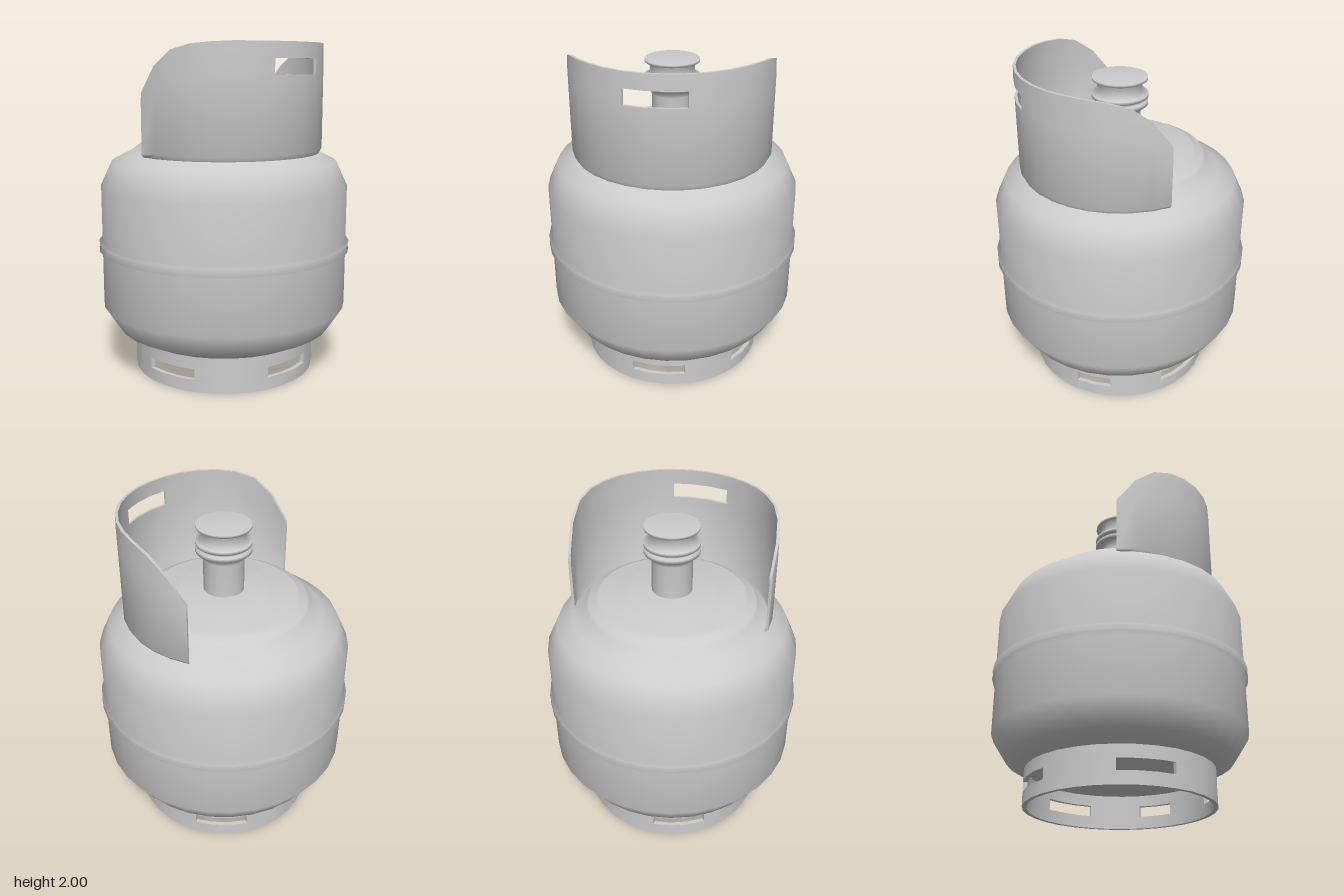
import * as THREE from 'three';
import { toCreasedNormals } from 'three/addons/utils/BufferGeometryUtils.js';

const SEG = 32;
const STEP = (Math.PI * 2) / SEG;
const grey = new THREE.MeshStandardMaterial({ color: 0xcccccc });

function add(group, name, geometry) {
  const mesh = new THREE.Mesh(geometry, grey);
  mesh.name = name;
  group.add(mesh);
}

// Surface of revolution from [radius, height] pairs, bottom to top
function lathe(profile) {
  return new THREE.LatheGeometry(profile.map(([r, y]) => new THREE.Vector2(r, y)), SEG);
}

// Thick curved wall made of angular columns and rows; solid(i, j) says which cells exist
function curvedWall(first, last, rows, thickness, solid, height = (i, y) => y) {
  const positions = [];
  const point = (i, j, inner) => {
    const r = rows[j][0] - (inner ? thickness : 0);
    return [r * Math.sin(i * STEP), height(i, rows[j][1]), r * Math.cos(i * STEP)];
  };
  const quad = (a, b, c, d) => positions.push(...a, ...b, ...c, ...a, ...c, ...d);
  for (let i = first; i < last; i++) {
    for (let j = 0; j < rows.length - 1; j++) {
      if (!solid(i, j)) continue;
      const [a, b, c, d] = [point(i, j), point(i + 1, j), point(i + 1, j + 1), point(i, j + 1)];
      const [e, f, g, h] = [point(i, j, true), point(i + 1, j, true), point(i + 1, j + 1, true), point(i, j + 1, true)];
      quad(a, b, c, d);
      quad(f, e, h, g);
      // Close the wall thickness wherever the neighbouring cell is missing
      if (!solid(i - 1, j)) quad(e, a, d, h);
      if (!solid(i + 1, j)) quad(b, f, g, c);
      if (!solid(i, j + 1)) quad(d, c, g, h);
      if (!solid(i, j - 1)) quad(e, f, b, a);
    }
  }
  const geometry = new THREE.BufferGeometry();
  geometry.setAttribute('position', new THREE.Float32BufferAttribute(positions, 3));
  return toCreasedNormals(geometry, 0.7);
}

export function createModel() {
  const model = new THREE.Group();
  model.name = 'gasCylinder';

  // Tank with a double weld bead and a stepped shoulder
  add(model, 'tank', lathe([
    [0, 0.17], [0.3, 0.18], [0.55, 0.21], [0.67, 0.27], [0.76, 0.41],
    [0.76, 0.745], [0.78, 0.76], [0.765, 0.78], [0.78, 0.805], [0.76, 0.815],
    [0.76, 1.15], [0.69, 1.3], [0.59, 1.35], [0.505, 1.41], [0.5, 1.445],
    [0.445, 1.445], [0.44, 1.475], [0.265, 1.475], [0.262, 1.505], [0, 1.51],
  ]));

  // Foot ring with five slots, given as first and last column
  const slots = [[-1, 2], [6, 9], [12, 14], [17, 20], [24, 27]];
  const inSlot = (i) => slots.some(([s, e]) => (i - s + SEG) % SEG < e - s);
  const footRows = [[0.56, 0], [0.56, 0.075], [0.56, 0.14], [0.56, 0.22]];
  add(model, 'footRing', curvedWall(0, SEG, footRows, 0.025,
    (i, j) => j >= 0 && j < 3 && !(j === 1 && inSlot((i + SEG) % SEG))));

  // Collar open on one side, with swept-down ends and a hand slot
  const tops = [1.72, 1.87, 1.955, 1.985, 1.995];
  const collarRows = [[0.585, 1.35], [0.6, 1.38], [0.6, 1.82], [0.6, 1.91], [0.597, 2]];
  const sweep = (i, y) => {
    const top = tops[Math.min(i + 1, 17 - i)] ?? 2;
    return 1.35 + ((y - 1.35) * (top - 1.35)) / 0.65;
  };
  add(model, 'collar', curvedWall(-1, 17, collarRows, 0.016,
    (i, j) => i >= -1 && i < 17 && j >= 0 && j < 4 && !(j === 2 && i >= 6 && i < 9), sweep));

  // Valve stem, twin flanges and cap
  add(model, 'valve', lathe([
    [0.12, 1.5], [0.12, 1.71], [0.135, 1.73], [0.14, 1.75], [0.163, 1.753], [0.163, 1.775],
    [0.145, 1.78], [0.145, 1.795], [0.163, 1.798], [0.163, 1.818], [0.13, 1.822],
    [0.13, 1.895], [0.16, 1.9], [0.16, 1.915], [0, 1.918],
  ]));

  return model;
}
